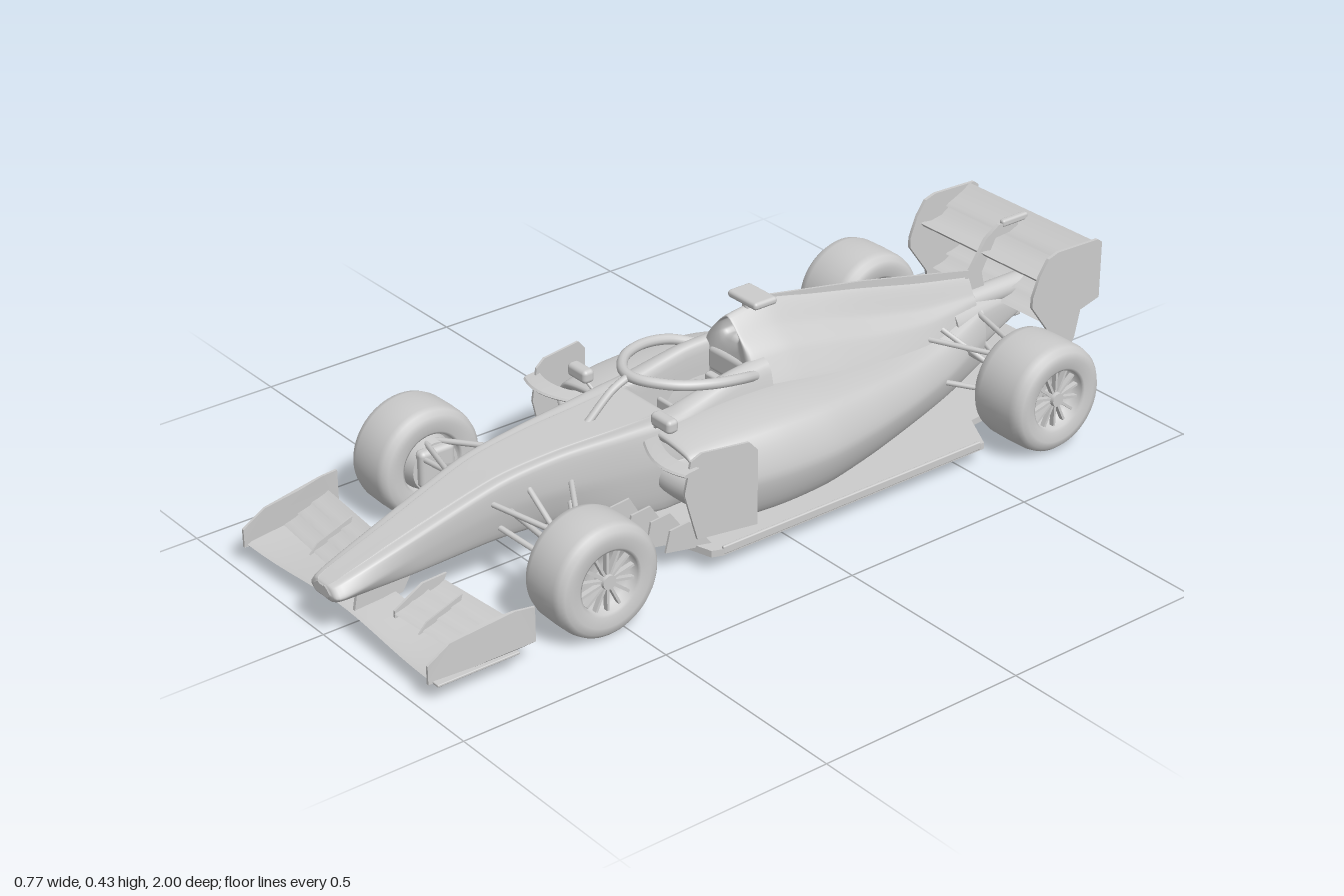
import * as THREE from 'three';
import { toCreasedNormals } from 'three/addons/utils/BufferGeometryUtils.js';
import { RoundedBoxGeometry } from 'three/addons/geometries/RoundedBoxGeometry.js';

const V = (x, y, z) => new THREE.Vector3(x, y, z);
const curve = (pts, closed, tension) => new THREE.CatmullRomCurve3(pts, closed, 'catmullrom', tension);

// Full outline from a half outline that runs bottom centre -> side -> top centre
const sym = half => [...half, ...half.slice(1, -1).reverse().map(([x, y]) => [-x, y])];

// Smooth skin over closed cross-sections [z, [[x, y], ...]], listed front to back
function loft(sections, ringN = 56, steps = 6, tension = 0.35) {
  const rings = sections.map(([z, pts]) => {
    const c = curve(pts.map(([x, y]) => V(x, y, z)), true, tension);
    return Array.from({ length: ringN }, (_, j) => c.getPoint(j / ringN));
  });
  const rows = (sections.length - 1) * steps;
  const rails = rings[0].map((_, j) => curve(rings.map(r => r[j]), false, 0.4));
  const pos = [], idx = [];
  for (let i = 0; i <= rows; i++) for (const r of rails) pos.push(...r.getPoint(i / rows).toArray());
  for (let i = 0; i < rows; i++) for (let j = 0; j < ringN; j++) {
    const k = (j + 1) % ringN, a = i * ringN + j, b = i * ringN + k, c = a + ringN, d = b + ringN;
    idx.push(a, c, b, b, c, d);
  }
  for (const [ring, flip] of [[rings[0], false], [rings.at(-1), true]]) {
    const base = pos.length / 3, mid = V(0, 0, 0);
    ring.forEach(p => { mid.addScaledVector(p, 1 / ringN); pos.push(...p.toArray()); });
    pos.push(...mid.toArray());
    for (let j = 0; j < ringN; j++) {
      const a = base + j, b = base + (j + 1) % ringN;
      idx.push(base + ringN, flip ? b : a, flip ? a : b);
    }
  }
  const g = new THREE.BufferGeometry();
  g.setAttribute('position', new THREE.Float32BufferAttribute(pos, 3));
  g.setIndex(idx);
  g.computeVertexNormals();
  return g;
}

// Side-profile [z, y] extruded from x0 to x1, optionally bent by a rule
function plate(pts, x0, x1, bend, steps = 1) {
  const shape = new THREE.Shape(pts.map(p => new THREE.Vector2(...p)));
  const g = new THREE.ExtrudeGeometry(shape, { depth: x1 - x0, bevelEnabled: false, steps });
  g.rotateY(-Math.PI / 2).translate(x1, 0, 0);
  if (bend) {
    const p = g.attributes.position, v = V(0, 0, 0);
    for (let i = 0; i < p.count; i++) { bend(v.fromBufferAttribute(p, i)); p.setXYZ(i, v.x, v.y, v.z); }
  }
  return toCreasedNormals(g, 0.6);
}

// Cambered wing section from leading edge to trailing edge
function foil(z0, y0, z1, y1, t, sag, x0, x1, bend, steps) {
  const at = (s, h) => [z0 + (z1 - z0) * s, y0 + (y1 - y0) * s - sag * 4 * s * (1 - s) + h * t];
  const c = [at(0, 0), at(.1, .4), at(.35, .5), at(.7, .3), at(1, .1), at(1, -.1), at(.7, -.3), at(.35, -.5), at(.1, -.4)];
  return plate(c, x0, x1, bend, steps);
}

function rod(a, b, r) {
  const g = new THREE.CylinderGeometry(r, r, a.distanceTo(b), 10);
  g.applyQuaternion(new THREE.Quaternion().setFromUnitVectors(V(0, 1, 0), b.clone().sub(a).normalize()));
  const m = a.clone().add(b).multiplyScalar(0.5);
  return g.translate(m.x, m.y, m.z);
}

const box = (w, h, d, x, y, z, r = 0.006) => new RoundedBoxGeometry(w, h, d, 3, r).translate(x, y, z);

function mirror(geo) {
  const g = geo.clone().scale(-1, 1, 1);
  const idx = g.index ? [...g.index.array] : Array.from({ length: g.attributes.position.count }, (_, i) => i);
  for (let i = 0; i < idx.length; i += 3) [idx[i + 1], idx[i + 2]] = [idx[i + 2], idx[i + 1]];
  g.setIndex(idx);
  return g;
}

export function createModel() {
  const model = new THREE.Group();
  const mat = new THREE.MeshStandardMaterial({ color: 0xcccccc, side: THREE.DoubleSide });
  const add = (name, geo) => { const m = new THREE.Mesh(geo, mat); m.name = name; model.add(m); };
  const pair = (name, geo) => { add(name + 'Left', geo); add(name + 'Right', mirror(geo)); };

  // Nose and survival cell with sunken cockpit: z, bottom y/w, middle y/w, top y/w, rim w, centre y
  const cell = [
    [.998, .098, .02, .108, .03, .118, .02, .01, .12],
    [.975, .088, .035, .105, .055, .128, .04, .025, .133],
    [.8, .095, .048, .14, .06, .183, .058, .035, .19],
    [.6, .105, .055, .18, .075, .243, .075, .05, .25],
    [.45, .095, .06, .18, .088, .26, .085, .06, .267],
    [.3, .06, .085, .17, .108, .264, .103, .07, .27],
    [.2, .05, .1, .17, .125, .268, .115, .075, .272],
    [.16, .05, .1, .17, .13, .27, .118, .07, .265],
    [.12, .05, .1, .17, .13, .275, .118, .066, .16],
    [0, .05, .1, .17, .13, .298, .11, .066, .15],
    [-.1, .05, .1, .17, .13, .305, .105, .06, .15],
  ];
  add('noseAndCockpit', loft(cell.map(([z, yb, wb, ym, wm, yt, wt, wc, yc]) =>
    [z, sym([[0, yb], [wb, yb], [wm, ym], [wt, yt], [wc, yt + .005], [wc * .9, yc], [0, yc]])]), 72));

  // Engine cover with open air intake: z, shoulder w/y, upper w/y, top y
  const cover = [
    [-.07, .115, .27, .042, .365, .402], [-.17, .13, .27, .045, .36, .412], [-.3, .13, .25, .04, .33, .384],
    [-.45, .115, .22, .035, .29, .352], [-.62, .085, .2, .03, .255, .312], [-.78, .045, .2, .022, .24, .28],
  ];
  const intake = sym([[0, .335], [.022, .337], [.03, .352], [.022, .38], [0, .393]]);
  const widen = ([z, sw, sy, uw, uy, ty]) => [z, sym([[0, .1], [sw, sy - .07], [(sw + uw) / 2, (sy + uy) / 2], [uw, uy], [0, ty]])];
  add('engineCover', loft([[-.15, intake], [-.075, intake], ...cover.map(widen)]));
  add('engineCoverFin', plate([[-.16, .4], [-.16, .42], [-.45, .367], [-.79, .292], [-.79, .26], [-.45, .32]], -.003, .003));

  // Sidepods with recessed inlets: z, inner x, outer x, bottom y, top y
  const pod = (z, xi, xo, yb, yt) => {
    const e = (xo - xi) * .22;
    return [z, [[xi, yb], [xo - e, yb], [xo, yb + (yt - yb) * .5], [xo - e, yt - .008], [xi, yt]]];
  };
  pair('sidepod', loft([pod(.1, .13, .225, .18, .223), pod(.2, .125, .235, .175, .228),
    pod(.215, .09, .25, .13, .25), pod(.12, .08, .27, .06, .258), pod(-.02, .07, .28, .045, .258),
    pod(-.16, .06, .272, .045, .248), pod(-.32, .04, .23, .045, .225), pod(-.48, .02, .175, .045, .2),
    pod(-.63, 0, .118, .045, .19), pod(-.79, 0, .06, .07, .21)], 40));

  // Floor outline seen from above, as [x, z]
  const outline = sym([[0, .43], [.07, .41], [.12, .28], [.305, .225], [.315, .2], [.315, -.55], [.22, -.6], [.2, -.8], [0, -.8]]);
  const floor = new THREE.ExtrudeGeometry(new THREE.Shape(outline.map(([x, z]) => new THREE.Vector2(x, -z))), { depth: .016, bevelEnabled: false });
  add('floor', floor.rotateX(-Math.PI / 2).translate(0, .038, 0));
  pair('floorEdge', box(.008, .02, .74, .312, .05, -.17, .003));

  // Diffuser ramp and strakes
  add('diffuserRamp', plate([[-.72, .042], [-.82, .075], [-.9, .115], [-.9, .123], [-.82, .085], [-.72, .054]], -.18, .18));
  for (const x of [.035, .075, .115, .155, .185])
    pair('diffuserStrake', plate([[-.72, .04], [-.88, .046], [-.91, .06], [-.905, .12], [-.82, .085]], x - .003, x + .003));

  // Rear crash structure, exhaust and rain light
  add('gearbox', loft([[-.7, sym([[0, .07], [.06, .08], [.06, .2], [0, .25]])], [-.85, sym([[0, .12], [.035, .13], [.035, .2], [0, .22]])],
    [-.93, sym([[0, .145], [.02, .15], [.02, .175], [0, .18]])]], 32));
  const pipe = [[.024, 0], [.028, 0], [.028, .21], [.022, .21], [.02, .12], [0, .12]].map(p => new THREE.Vector2(...p));
  add('exhaust', new THREE.LatheGeometry(pipe, 28).rotateX(-Math.PI / 2).translate(0, .215, -.785));
  add('rainLight', box(.03, .05, .02, 0, .16, -.935));

  // Rear wing: endplates, two upper elements, beam wing and swan-neck support
  pair('rearWingEndplate', plate([[-.785, .275], [-.785, .3], [-.805, .35], [-.83, .385], [-.86, .394], [-.985, .39], [-.998, .38],
    [-.998, .24], [-.94, .225], [-.925, .16], [-.9, .115], [-.86, .12], [-.84, .2]].reverse(), .203, .211));
  add('rearWingMainPlane', foil(-.815, .33, -.91, .35, .014, .018, -.205, .205));
  add('rearWingFlap', foil(-.895, .352, -.97, .39, .009, .005, -.205, .205));
  for (const [y, z] of [[.2, -.86], [.225, -.9]]) add('beamWing', foil(z, y, z - .055, y + .018, .008, .006, -.205, .205));
  add('rearWingSupport', plate([[-.74, .25], [-.79, .3], [-.83, .36], [-.87, .385], [-.93, .38], [-.93, .36], [-.86, .355], [-.82, .28], [-.84, .2]], -.005, .005));
  add('flapActuator', box(.016, .018, .08, 0, .384, -.92));

  // Front wing: full-width plane, stacked flaps, curled endplates and nose pylons
  add('frontWingMainPlane', foil(.968, .05, .86, .062, .012, .004, -.345, .345,
    v => { v.y += .006 * Math.cos(v.x * 12); v.z -= .012 * Math.cos(v.x * 4.4); }, 24));
  [[.9, .068], [.865, .083], [.83, .097]].forEach(([z, y], i) =>
    pair('frontWingFlap', foil(z, y, z - .045, y + .016, .006, .004, .115 + i * .008, .342,
      v => { const s = (v.x - .12) / .22; v.z -= .025 * s; v.y -= .008 * s; }, 8)));
  pair('flapInnerFence', plate([[.9, .05], [.9, .075], [.83, .115], [.77, .118], [.8, .06]], .113, .119));
  pair('flapBracket', plate([[.9, .06], [.88, .082], [.79, .116], [.8, .085]], .2, .204));
  const curl = v => { v.x += Math.max(0, .83 - v.z) * .17; };
  pair('frontWingEndplate', plate([[.975, .042], [.975, .085], [.92, .118], [.83, .132], [.77, .138], [.725, .136],
    [.725, .055], [.77, .048], [.83, .042]], .34, .346, curl));
  pair('frontWingFootplate', box(.026, .006, .2, .352, .044, .865, .002));
  pair('nosePylon', plate([[.95, .05], [.94, .1], [.8, .11], [.83, .06]], .036, .044));

  // Halo hoop and centre pillar
  const hoop = [V(.1, .295, -.06), V(.122, .315, 0), V(.122, .327, .07), V(.095, .334, .14), V(.045, .339, .19), V(0, .34, .205)];
  const hoopPath = curve([...hoop, ...hoop.slice(0, -1).reverse().map(p => V(-p.x, p.y, p.z))], false, .5);
  add('haloHoop', new THREE.TubeGeometry(hoopPath, 64, .012, 12));
  add('haloPillar', new THREE.TubeGeometry(curve([V(0, .342, .2), V(0, .318, .255), V(0, .262, .32)], false, .5), 16, .009, 10));
  add('headrest', box(.13, .06, .03, 0, .275, -.075, .012));
  add('seat', box(.1, .1, .02, 0, .2, -.05).rotateX(0));
  add('steeringWheel', box(.07, .035, .012, 0, .225, .1));

  // Camera pod and mirrors
  add('cameraStalk', box(.018, .03, .05, 0, .41, -.135));
  add('cameraPod', box(.098, .018, .065, 0, .424, -.135, .008));
  pair('mirror', box(.066, .032, .03, .147, .296, .225, .01));
  pair('mirrorStalk', rod(V(.1, .262, .22), V(.14, .288, .225), .004));

  // Bargeboards and vanes ahead of the sidepods
  pair('bargeboard', plate([[.27, .19], [.255, .265], [.23, .28], [.12, .278], [.1, .255], [.1, .075], [.24, .075]], .3, .306,
    v => { v.x -= Math.max(0, v.z - .1) * .2; }));
  pair('bargeboardTopWing', foil(.275, .242, .235, .25, .01, .002, .11, .285, v => { v.z += .04 * Math.sin((v.x - .11) * 14) - .02; }, 10));
  for (const [x, z, h] of [[.125, .37, .13], [.165, .345, .12], [.2, .32, .11], [.24, .3, .1]])
    pair('turningVane', plate([[z, .048], [z - .01, h], [z - .05, h + .015], [z - .1, .05]], x, x + .005, v => { v.x -= (v.z - z) * .35; }));

  // Wheels: lathed tyre and rim, spokes and hub, inner brake drum
  const wheel = (name, z, x0, x1) => {
    const h = (x1 - x0) / 2, cx = (x0 + x1) / 2;
    const place = g => g.rotateZ(-Math.PI / 2).translate(cx, .132, z);
    const half = [[.03, .5], [.068, .55], [.072, .9], [.078, .95], [.1, 1], [.116, .96], [.126, .82], [.13, .6], [.131, 0]];
    const pts = [...half.map(([r, s]) => [r, -s * h]), ...half.slice(0, -1).reverse().map(([r, s]) => [r, s * h])];
    const lathe = new THREE.LatheGeometry([[0, -h * .5], ...pts, [0, h * .5]].map(p => new THREE.Vector2(...p)), 56);
    pair(name + 'Tyre', place(lathe));
    for (let i = 0; i < 14; i++)
      pair(name + 'Spoke', place(new THREE.BoxGeometry(.054, .012, .006).translate(.042, h * .72, 0).rotateY(i * Math.PI / 7)));
    pair(name + 'Hub', place(new THREE.CylinderGeometry(.016, .02, h * .4, 20).translate(0, h * .7, 0)));
    pair(name + 'BrakeDrum', place(new THREE.CylinderGeometry(.066, .058, h * .6, 32).translate(0, -h * .8, 0)));
  };
  wheel('frontWheel', .548, .25, .385);
  wheel('rearWheel', -.715, .225, .385);

  // Suspension arms, steering and drive shafts
  const arms = {
    frontUpperArm: [[.075, .2, .42, .27, .185, .54], [.07, .205, .62, .27, .185, .555]],
    frontLowerArm: [[.07, .15, .42, .27, .1, .535], [.055, .14, .6, .27, .1, .555]],
    frontPushrod: [[.075, .215, .53, .265, .115, .545]],
    steeringArm: [[.065, .175, .575, .27, .165, .585]],
    rearUpperArm: [[.07, .2, -.6, .25, .19, -.7], [.04, .2, -.78, .25, .19, -.73]],
    rearLowerArm: [[.08, .11, -.58, .25, .1, -.7], [.04, .12, -.8, .25, .1, -.73]],
    rearPushrod: [[.08, .22, -.63, .25, .12, -.71]],
    driveShaft: [[.04, .14, -.72, .25, .135, -.715]],
  };
  for (const [name, rods] of Object.entries(arms))
    for (const [a, b, c, d, e, f] of rods) pair(name, rod(V(a, b, c), V(d, e, f), name === 'driveShaft' ? .012 : .0065));
  pair('frontBrakeDuct', box(.03, .09, .09, .24, .14, .55, .012));
  pair('rearBrakeDuct', box(.03, .1, .08, .215, .15, -.71, .012));

  return model;
}
